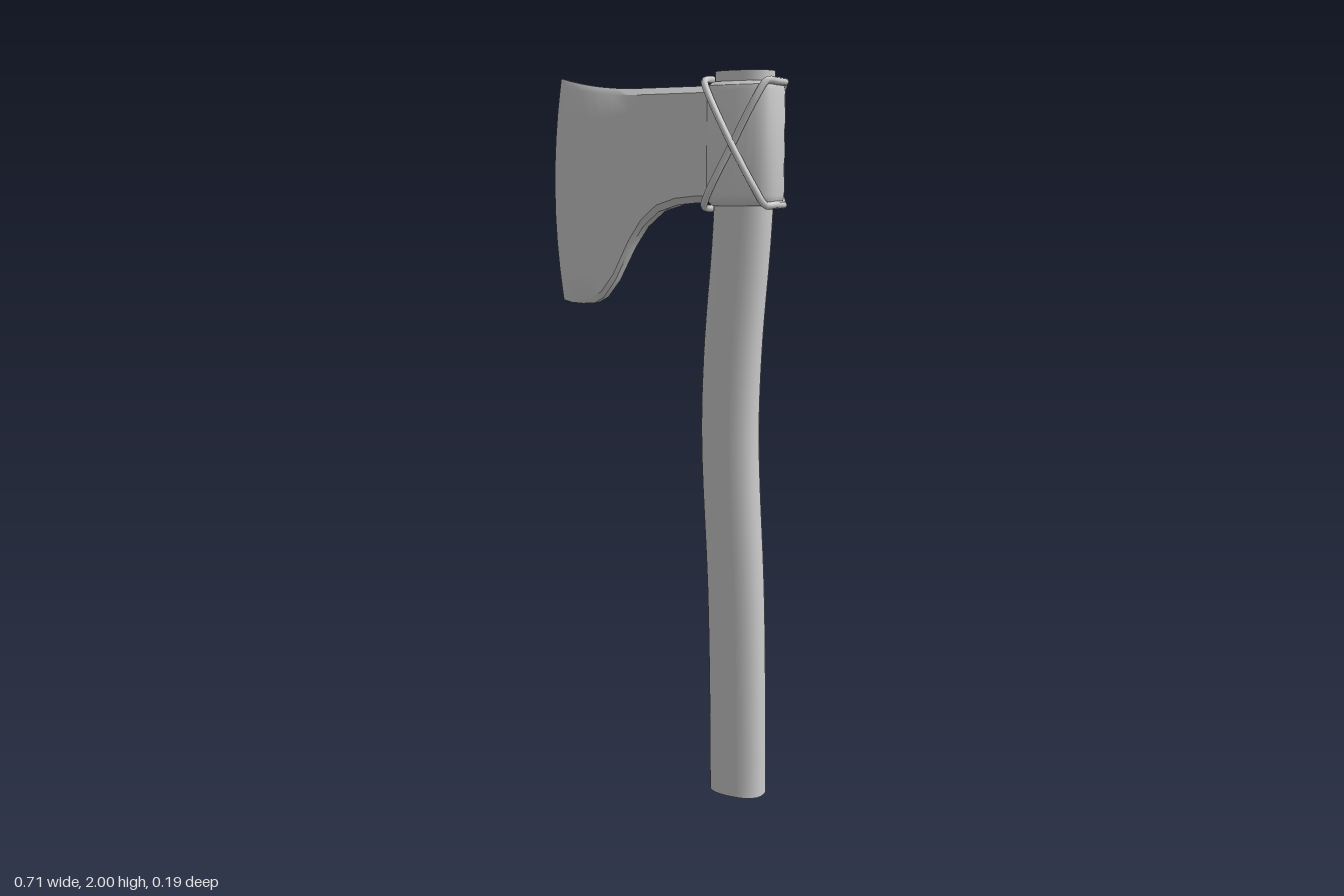
import * as THREE from 'three';
import { toCreasedNormals } from 'three/addons/utils/BufferGeometryUtils.js';

const material = new THREE.MeshStandardMaterial({ color: 0xcccccc });

// Skin a list of rings (each counter-clockwise about the travel direction) and cap both ends
function loft(rings) {
  const n = rings[0].length, pos = [], index = [];
  rings.forEach(r => r.forEach(p => pos.push(p.x, p.y, p.z)));
  for (let i = 0; i < rings.length - 1; i++) {
    for (let j = 0; j < n; j++) {
      const k = (j + 1) % n, a = i * n + j, b = i * n + k;
      index.push(a, b, b + n, a, b + n, a + n);
    }
  }
  [0, rings.length - 1].forEach((r, end) => {
    const c = new THREE.Vector3();
    rings[r].forEach(p => c.addScaledVector(p, 1 / n));
    const ci = pos.length / 3;
    pos.push(c.x, c.y, c.z);
    for (let j = 0; j < n; j++) {
      const a = r * n + j, b = r * n + (j + 1) % n;
      index.push(ci, end ? a : b, end ? b : a);
    }
  });
  const g = new THREE.BufferGeometry();
  g.setAttribute('position', new THREE.Float32BufferAttribute(pos, 3));
  g.setIndex(index);
  return toCreasedNormals(g, 0.6);
}

// Horizontal superellipse ring
function ovalRing(cx, y, hx, hz, power, n = 32) {
  const bend = v => Math.sign(v) * Math.abs(v) ** (2 / power);
  return Array.from({ length: n }, (_, i) => {
    const a = i / n * Math.PI * 2;
    return new THREE.Vector3(cx + hx * bend(Math.sin(a)), y, hz * bend(Math.cos(a)));
  });
}

// Gently bowed oval handle
function handleGeometry() {
  const path = new THREE.CatmullRomCurve3([
    [0.238, 0], [0.235, 0.25], [0.226, 0.6], [0.207, 0.95], [0.205, 1.1],
    [0.213, 1.3], [0.233, 1.55], [0.24, 1.7], [0.24, 2],
  ].map(([x, y]) => new THREE.Vector3(x, y, 0)));
  return loft(path.getPoints(32).map(p => ovalRing(p.x, p.y, 0.081, 0.057, 2.4)));
}

// Wedge blade: stations from cutting edge to socket, [x, top, bottom, half thickness]
function bladeGeometry() {
  const stations = [
    [-0.33, 2.0, 1.38, 0.0008], [-0.3, 1.992, 1.374, 0.008], [-0.26, 1.983, 1.373, 0.016],
    [-0.22, 1.976, 1.376, 0.022], [-0.19, 1.972, 1.392, 0.025], [-0.15, 1.968, 1.442, 0.027],
    [-0.1, 1.965, 1.535, 0.029], [-0.06, 1.965, 1.592, 0.031], [-0.01, 1.965, 1.634, 0.033],
    [0.05, 1.965, 1.653, 0.035], [0.11, 1.965, 1.659, 0.038], [0.14, 1.965, 1.66, 0.043],
    [0.2, 1.965, 1.66, 0.06],
  ];
  const rows = 10;
  return loft(stations.map(([x, top, bottom, half]) => {
    const fade = Math.max(0, (-0.17 - x) / 0.16);
    const side = [];
    for (let i = 0; i <= rows; i++) {
      // outermost rows form the chamfer along the top and the beard
      const rim = i === 0 || i === rows;
      const y = i === 0 ? top : i === rows ? bottom
        : THREE.MathUtils.lerp(top - 0.018, bottom + 0.018, (i - 1) / (rows - 2));
      const t = 2 * (y - bottom) / (top - bottom) - 1;
      side.push(new THREE.Vector3(x - 0.026 * fade * (1 - t * t), y, half * (rim ? 0.55 : 1)));
    }
    const back = side.map(p => new THREE.Vector3(p.x, p.y, -p.z)).reverse();
    return [...side, ...back];
  }));
}

// Socket wrapped round the handle, with softened rims
function socketGeometry() {
  return loft([
    [1.652, 0.014], [1.664, 0.003], [1.68, 0], [1.95, 0], [1.963, 0.003], [1.973, 0.014],
  ].map(([y, inset]) => ovalRing(0.243, y, 0.102 - inset, 0.072 - inset, 3)));
}

// One closed cord loop, crossing both cheeks; dir = 1 runs from poll top to blade bottom
function cordGeometry(dir, lift) {
  const mid = 1.813;
  const half = [
    [0.342, 0.158, 0.025], [0.328, 0.158, 0.056], [0.305, 0.115, 0.074],
    [0.236, -0.01, lift], [0.17, -0.125, 0.073], [0.146, -0.16, 0.05], [0.14, -0.168, 0.02],
  ];
  const front = half.map(([x, y, z]) => new THREE.Vector3(x, mid + dir * y, z));
  const back = front.map(p => new THREE.Vector3(p.x, p.y, -p.z)).reverse();
  const path = new THREE.CatmullRomCurve3([...front, ...back], true);
  return new THREE.TubeGeometry(path, 96, 0.01, 8, true);
}

export function createModel() {
  const model = new THREE.Group();
  model.name = 'axe';
  const add = (name, geometry) => {
    const mesh = new THREE.Mesh(geometry, material);
    mesh.name = name;
    model.add(mesh);
  };
  add('handle', handleGeometry());
  add('blade', bladeGeometry());
  add('socket', socketGeometry());
  add('cordDown', cordGeometry(1, 0.078));
  add('cordUp', cordGeometry(-1, 0.086));
  return model;
}
